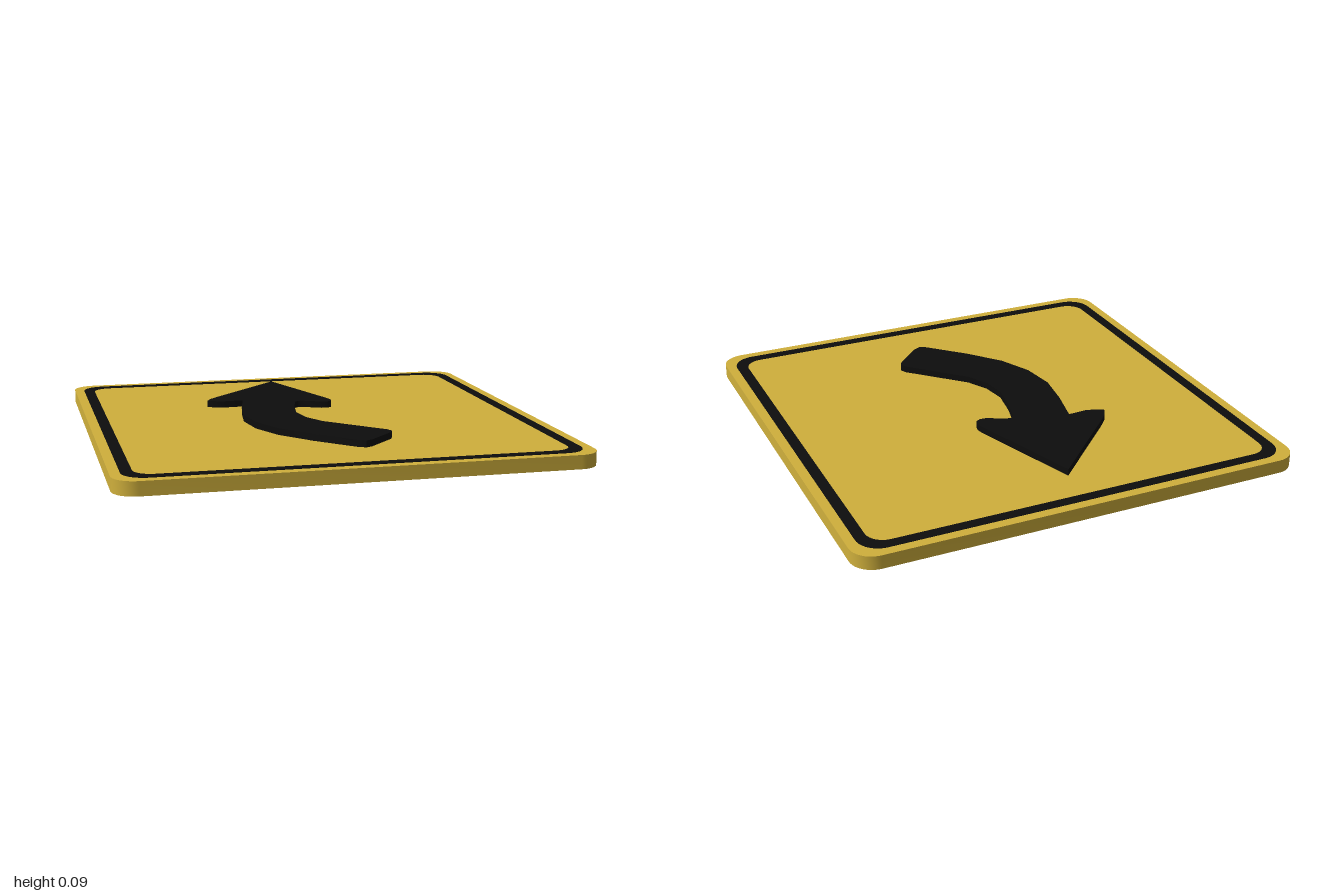
import * as THREE from 'three';
import { toCreasedNormals } from 'three/addons/utils/BufferGeometryUtils.js';

const yellow = new THREE.MeshStandardMaterial({ color: 0xd0b03c });
const black = new THREE.MeshStandardMaterial({ color: 0x0d0d0d });

// Square outline with rounded corners, centred on the origin
function roundedSquare(half, radius) {
  const shape = new THREE.Shape();
  const c = half - radius;
  [[c, c], [-c, c], [-c, -c], [c, -c]].forEach(([x, y], i) => {
    shape.absarc(x, y, radius, i * Math.PI / 2, (i + 1) * Math.PI / 2, false);
  });
  shape.closePath();
  return shape;
}

// Lay an extruded outline flat, from height y0 up to y1
function slab(name, shape, y0, y1, material) {
  let geometry = new THREE.ExtrudeGeometry(shape, { depth: y1 - y0, bevelEnabled: false, curveSegments: 6 });
  geometry.rotateX(-Math.PI / 2);
  geometry.translate(0, y0, 0);
  geometry = toCreasedNormals(geometry, 0.6);
  const mesh = new THREE.Mesh(geometry, material);
  mesh.name = name;
  return mesh;
}

export function createModel() {
  const group = new THREE.Group();
  group.name = 'curveAheadSign';

  // Plate
  group.add(slab('plate', roundedSquare(1, 0.1), 0, 0.06, yellow));

  // Thin painted border
  const border = roundedSquare(0.957, 0.1);
  border.holes.push(roundedSquare(0.908, 0.08));
  group.add(slab('border', border, 0.058, 0.0615, black));

  // Raised curved arrow, outlined as x, z from the tip round its right side
  const outline = [
    [-0.02, -0.745], [0.15, -0.25], [0.157, -0.215], [0.152, -0.188], [0.13, -0.175], [0.1, -0.177],
    [0.025, -0.216], [0, -0.221], [-0.02, -0.205], [-0.05, -0.09], [-0.07, 0.04], [-0.052, 0.15],
    [0, 0.25], [0.23, 0.48], [0.242, 0.508], [0.23, 0.535], [0.115, 0.65], [0.085, 0.665],
    [0.055, 0.65], [-0.1, 0.495], [-0.22, 0.35], [-0.29, 0.2], [-0.314, 0.04], [-0.292, -0.125],
    [-0.255, -0.295], [-0.34, -0.29], [-0.38, -0.3], [-0.42, -0.32], [-0.4, -0.36], [-0.355, -0.41],
  ];
  const arrow = new THREE.Shape(outline.map(([x, z]) => new THREE.Vector2(x, -z)));
  group.add(slab('arrow', arrow, 0.058, 0.09, black));

  return group;
}
